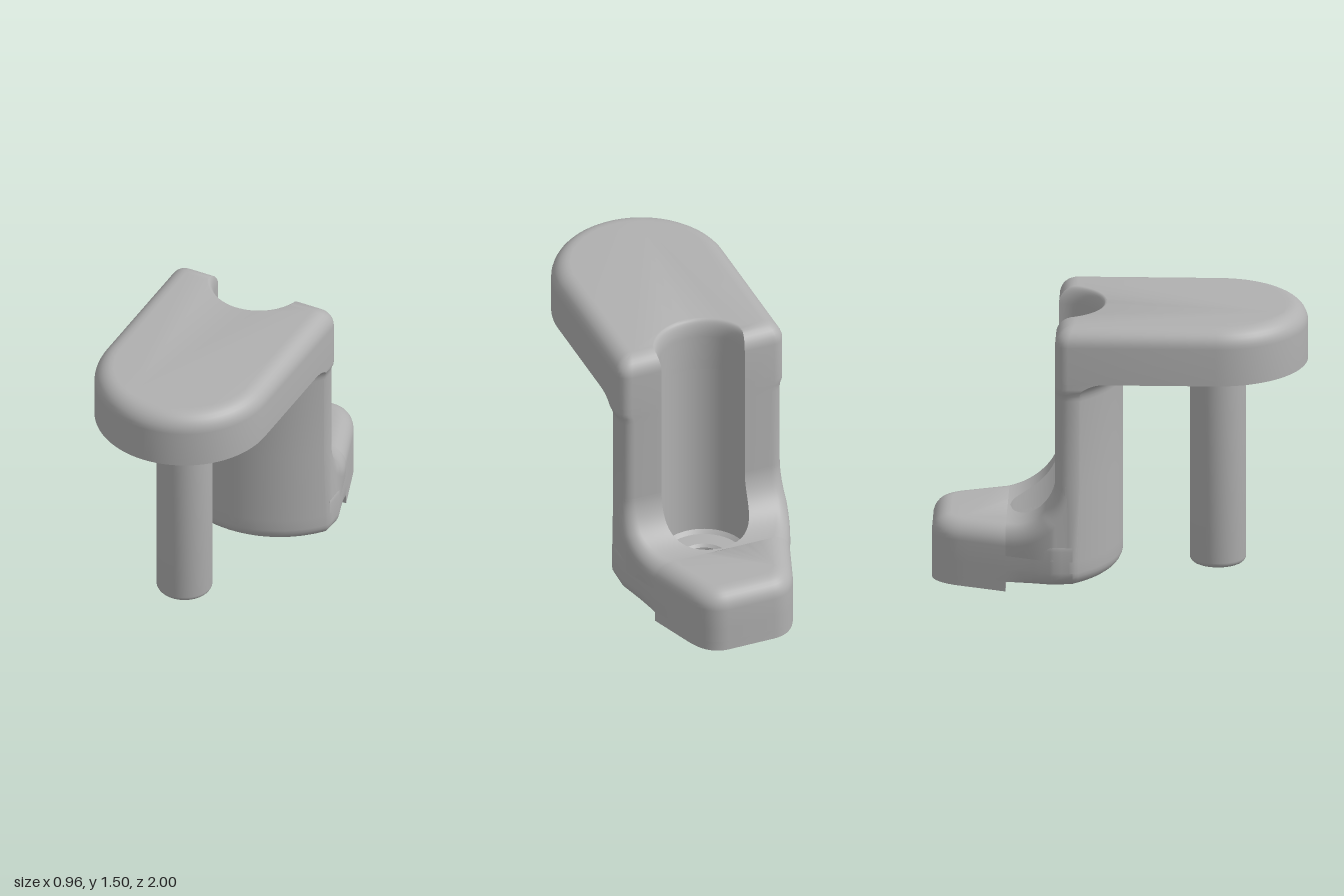
import * as THREE from 'three';
import { toCreasedNormals } from 'three/addons/utils/BufferGeometryUtils.js';

const HOLE_Z = -0.345, HOLE_R = 0.24, BACK_Z = -0.335, BOTTOM = 0.055;
const mix = THREE.MathUtils.lerp;
const clamp = THREE.MathUtils.clamp;
const range = (n, fn) => Array.from({ length: n + 1 }, (_, i) => fn(i / n));

function fromTriangles(tris) {
  const geo = new THREE.BufferGeometry();
  geo.setAttribute('position', new THREE.Float32BufferAttribute(tris.flat(2), 3));
  return toCreasedNormals(geo, 0.7);
}

// Skin a stack of rings, each { y, pts: [[x, z], ...] }, from bottom to top
function loft(rings, capBottom, capTop) {
  const tris = [];
  const flat = (r) => r.pts.map(([x, z]) => new THREE.Vector2(x, z));
  const flip = THREE.ShapeUtils.area(flat(rings[0])) < 0;
  const levels = rings.map(({ y, pts }) => {
    const p = pts.map(([x, z]) => [x, y, z]);
    return flip ? p.reverse() : p;
  });
  for (let i = 0; i < levels.length - 1; i++) {
    const lo = levels[i], hi = levels[i + 1];
    lo.forEach((a, j) => {
      const k = (j + 1) % lo.length;
      tris.push([a, hi[j], lo[k]], [lo[k], hi[j], hi[k]]);
    });
  }
  const cap = (level, up) => {
    const pts = level.map(([x, , z]) => new THREE.Vector2(x, z));
    for (const [a, b, c] of THREE.ShapeUtils.triangulateShape(pts, [])) {
      const turn = pts[b].clone().sub(pts[a]).cross(pts[c].clone().sub(pts[a]));
      tris.push((turn < 0) === up ? [level[a], level[b], level[c]] : [level[a], level[c], level[b]]);
    }
  };
  if (capBottom) cap(levels[0], false);
  if (capTop) cap(levels[levels.length - 1], true);
  return fromTriangles(tris);
}

// Flat plate facing down with a round hole
function plateBelow(pts, holeZ, holeR, y) {
  const shape = new THREE.Shape(pts.map(([x, z]) => new THREE.Vector2(x, z)));
  shape.holes.push(new THREE.Path().absarc(0, holeZ, holeR, 0, Math.PI * 2, true));
  return new THREE.ShapeGeometry(shape, 32).rotateX(Math.PI / 2).translate(0, y, 0);
}

// Plan outline: given front, straight sides, rounded back corners, round notch in the back
function notchedOutline(front, halfW, backZ, corner, notchR) {
  const right = range(6, (t) => {
    const a = (t - 1) * Math.PI / 2;
    return [halfW - corner + corner * Math.cos(a), backZ + corner + corner * Math.sin(a)];
  });
  const left = right.map(([x, z]) => [-x, z]).reverse();
  const e = Math.asin((backZ - HOLE_Z) / notchR);
  const notch = range(28, (t) => {
    const a = mix(Math.PI - e, e, t);
    return [notchR * Math.cos(a), HOLE_Z + notchR * Math.sin(a)];
  });
  return [...right, ...front, ...left, ...notch];
}

const armOutline = (d) => notchedOutline(
  range(40, (t) => [(0.48 - d) * Math.cos(t * Math.PI), 0.52 + (0.48 - d) * Math.sin(t * Math.PI)]),
  0.48 - d, BACK_Z + d, 0.07 * (1 - d / 0.12), HOLE_R + 0.35 * d);

const columnFront = (off, halfW) => range(28, (t) => {
  const x = halfW * Math.cos(t * Math.PI);
  return [x, -0.585 + Math.sqrt((0.6 + off) ** 2 - x * x)];
});
const columnOutline = (off, halfW) =>
  notchedOutline(columnFront(off, halfW), halfW, BACK_Z, 0.07, HOLE_R);

// Half width of the tapering base
const baseX = (z) => 0.48 - 0.353 * Math.max(0, -0.345 - z);
const corner = new THREE.QuadraticBezierCurve(
  new THREE.Vector2(baseX(-0.85), -0.85), new THREE.Vector2(baseX(-1), -1), new THREE.Vector2(0.13, -1));
const baseEdge = [
  ...[-0.24, -0.3, -0.34, -0.36, -0.45, -0.52, -0.6, -0.7, -0.8].map((z) => [baseX(z), z]),
  ...corner.getPoints(10).map((p) => [p.x, p.y]),
];

// Right side of the base, moved inward by inset(z)
function baseSide(inset) {
  return baseEdge.map(([x, z], i) => {
    const a = baseEdge[Math.max(0, i - 1)];
    const b = baseEdge[i + 1] || [-x, z];
    const n = new THREE.Vector2(-(b[1] - a[1]), b[0] - a[0]).normalize();
    return [x - n.x * inset(z), z - n.y * inset(z)];
  });
}
const mirrored = (pts) => pts.map(([x, z]) => [-x, z]).reverse();

function baseOutline(inset, holeR) {
  const side = baseSide(inset);
  const e = Math.asin((-0.24 - HOLE_Z) / holeR);
  const notch = range(36, (t) => {
    const a = mix(Math.PI - e, 2 * Math.PI + e, t);
    return [holeR * Math.cos(a), HOLE_Z + holeR * Math.sin(a)];
  });
  return [...side, ...mirrored(side), ...notch];
}

// Concave sweep from the column back onto the base, one half
function sweepHalf(sign) {
  const rows = range(32, (t) => {
    const a = t * Math.PI / 2;
    const nz = -Math.cos(a), ny = Math.sin(a);
    const z = -0.6 - 0.265 * nz, y = 0.62 - 0.265 * ny;
    const r = mix(0.07, 0.1, t), edgeZ = z - nz * r;
    const w = mix(0.465, baseX(edgeZ), t);
    const inner = Math.sqrt(Math.max(0, HOLE_R ** 2 - (z - HOLE_Z) ** 2));
    const round = range(8, (s) => {
      const b = s * Math.PI / 2, drop = r * (1 - Math.cos(b));
      return [w - r + r * Math.sin(b), y - ny * drop, z - nz * drop];
    });
    const row = [[inner, 0.25, z], [inner, y, z], ...round, [baseX(edgeZ), 0.2, edgeZ]]
      .map((p) => [p[0] * sign, p[1], p[2]]);
    return sign > 0 ? row : row.reverse();
  });
  const tris = [];
  for (let i = 0; i < rows.length - 1; i++) {
    for (let j = 0; j < rows[i].length - 1; j++) {
      const a = rows[i][j], b = rows[i][j + 1], c = rows[i + 1][j], d = rows[i + 1][j + 1];
      tris.push([a, b, c], [b, d, c]);
    }
  }
  return fromTriangles(tris);
}

export function createModel() {
  const group = new THREE.Group();
  const grey = new THREE.MeshStandardMaterial({ color: 0xb0b0b0, side: THREE.DoubleSide });
  grey.name = 'grey';
  const add = (name, geo) => {
    const mesh = new THREE.Mesh(geo, grey);
    mesh.name = name;
    group.add(mesh);
    return mesh;
  };

  // Arm with rounded top edge and a round recess underneath
  add('arm', loft([
    { y: 1.2, pts: armOutline(0) },
    ...range(8, (t) => ({
      y: 1.405 + 0.1 * Math.sin(t * Math.PI / 2),
      pts: armOutline(0.1 * (1 - Math.cos(t * Math.PI / 2))),
    })),
  ], false, true));
  add('armUnderside', plateBelow(armOutline(0), 0.52, 0.34, 1.2));
  add('armRecess', toCreasedNormals(new THREE.LatheGeometry(
    [[0, 1.32], [0.34, 1.32], [0.34, 1.2]].map((p) => new THREE.Vector2(...p)), 48), 0.7)
    .translate(0, 0, 0.52));

  // Hanging pin
  add('pin', toCreasedNormals(new THREE.LatheGeometry([
    new THREE.Vector2(0, BOTTOM),
    ...range(5, (t) => new THREE.Vector2(
      0.12 + 0.03 * Math.sin(t * Math.PI / 2), BOTTOM + 0.03 * (1 - Math.cos(t * Math.PI / 2)))),
    new THREE.Vector2(0.15, 1.32),
  ], 48), 0.7).translate(0, 0, 0.52));

  // Column: rounded bottom edge, slight narrowing, flare under the arm
  add('column', loft([
    ...range(6, (t) => {
      const d = 0.08 * (1 - Math.sin(t * Math.PI / 2));
      return { y: BOTTOM + 0.08 * (1 - Math.cos(t * Math.PI / 2)), pts: columnOutline(-d, 0.48 - d) };
    }),
    { y: 0.2, pts: columnOutline(0, 0.48) },
    { y: 0.62, pts: columnOutline(0, 0.465) },
    ...range(8, (t) => {
      const off = 0.1 * (1 - Math.cos(t * Math.PI / 2));
      return { y: 1.1 + 0.1 * Math.sin(t * Math.PI / 2), pts: columnOutline(off, Math.min(0.48, 0.465 + off)) };
    }),
  ], false, false));

  // Base with rounded top edge; the lower edge rounding fades out towards the foot
  const fade = (z) => clamp((z + 0.6) / 0.36, 0, 1);
  add('base', loft([
    ...range(6, (t) => ({
      y: BOTTOM + 0.08 * (1 - Math.cos(t * Math.PI / 2)),
      pts: baseOutline((z) => 0.08 * (1 - Math.sin(t * Math.PI / 2)) * fade(z), HOLE_R),
    })),
    ...range(8, (t) => {
      const d = 0.1 * (1 - Math.cos(t * Math.PI / 2));
      return { y: 0.255 + 0.1 * Math.sin(t * Math.PI / 2), pts: baseOutline(() => d, HOLE_R + 0.2 * d) };
    }),
  ], false, true));
  add('leftSweep', sweepHalf(1));
  add('rightSweep', sweepHalf(-1));

  // Underside and the raised foot pad at the back
  const under = baseSide((z) => 0.08 * fade(z)).filter(([, z]) => z > -0.605);
  add('underside', plateBelow(
    [...under.slice().reverse(), ...columnFront(-0.08, 0.4), ...mirrored(under).reverse()],
    HOLE_Z, 0.13, BOTTOM));
  const foot = baseEdge.filter(([, z]) => z <= -0.6);
  const footOutline = [...foot, ...mirrored(foot)];
  add('footPad', loft([{ y: 0, pts: footOutline }, { y: BOTTOM, pts: footOutline }], true, false));

  // Seat and through hole at the bottom of the channel
  add('boltSeat', toCreasedNormals(new THREE.LatheGeometry([
    [0.13, BOTTOM], [0.115, 0.07], [0.115, 0.125], [0.13, 0.14], [0.22, 0.14], [0.24, 0.16],
  ].map((p) => new THREE.Vector2(...p)), 48), 0.5).translate(0, 0, HOLE_Z));

  return group;
}
